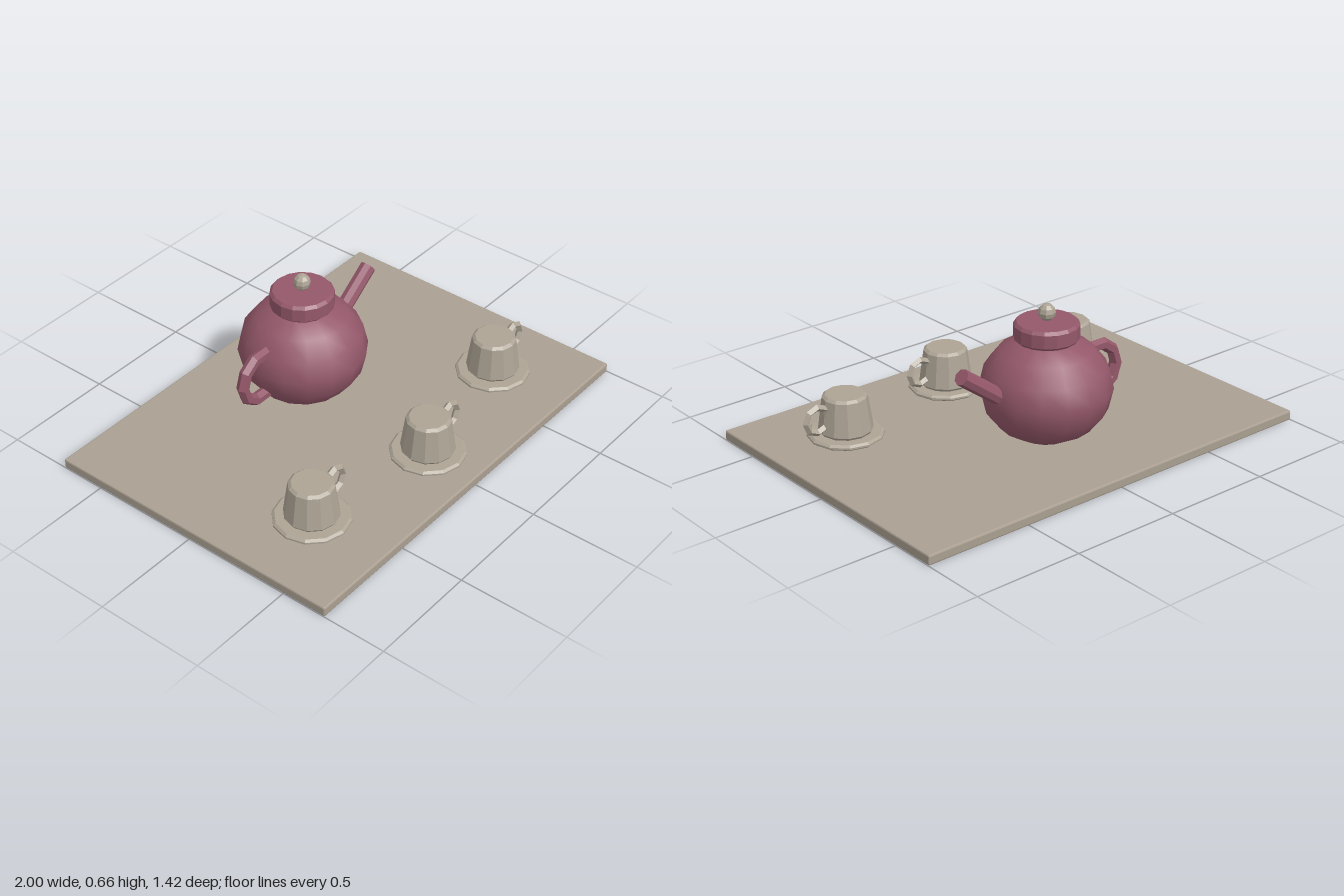
import * as THREE from 'three';
import { RoundedBoxGeometry } from 'three/addons/geometries/RoundedBoxGeometry.js';

const mat = (name, color, flatShading) => {
  const m = new THREE.MeshStandardMaterial({ color, flatShading });
  m.name = name;
  return m;
};

export function createModel() {
  const trayMat = mat('warm grey tray', 0xaa9f91, true);
  const potteryMat = mat('pale grey pottery', 0xada495, true);
  const potMat = mat('plum body', 0x94586a, false);
  const potFlatMat = mat('plum trim', 0x94586a, true);

  const root = new THREE.Group();
  root.name = 'teaSet';

  const add = (parent, name, geometry, material, x = 0, y = 0, z = 0) => {
    const mesh = new THREE.Mesh(geometry, material);
    mesh.name = name;
    mesh.position.set(x, y, z);
    parent.add(mesh);
    return mesh;
  };
  // Turned solid from [radius, height] points, listed bottom to top
  const lathe = (points, sides) =>
    new THREE.LatheGeometry(points.map(([r, y]) => new THREE.Vector2(r, y)), sides);

  // Tray
  add(root, 'tray', new RoundedBoxGeometry(2, 0.045, 1.42, 1, 0.007), trayMat, 0, 0.0225, 0);

  // Teapot
  const teapot = new THREE.Group();
  teapot.name = 'teapot';
  teapot.position.z = -0.23;
  root.add(teapot);

  const body = new THREE.SphereGeometry(0.284, 16, 8);
  body.scale(1, 0.241 / 0.284, 1);
  add(teapot, 'body', body, potMat, 0, 0.289, 0);

  add(teapot, 'lid', lathe([
    [0, 0.503], [0.128, 0.503], [0.14, 0.515], [0.14, 0.573], [0.128, 0.586], [0, 0.586],
  ], 16), potFlatMat);
  add(teapot, 'knob', new THREE.SphereGeometry(0.038, 8, 6), potteryMat, 0, 0.624, 0);

  // Straight spout, leaning out to the left
  const from = new THREE.Vector3(0.2, 0.273, 0);
  const to = new THREE.Vector3(0.453, 0.46, 0);
  const dir = to.clone().sub(from);
  const spout = add(teapot, 'spout',
    new THREE.CylinderGeometry(0.036, 0.036, dir.length(), 8), potFlatMat);
  spout.position.copy(from).add(to).multiplyScalar(0.5);
  spout.quaternion.setFromUnitVectors(new THREE.Vector3(0, 1, 0), dir.normalize());

  // Ring handle, partly sunk in the body
  add(teapot, 'handle', new THREE.TorusGeometry(0.11, 0.028, 6, 10), potFlatMat, -0.284, 0.29, 0)
    .rotation.z = Math.PI;

  // Upturned cups on saucers
  const saucerGeo = lathe([
    [0, 0.045], [0.156, 0.045], [0.167, 0.053], [0.167, 0.061], [0.156, 0.07], [0, 0.07],
  ], 12);
  const cupGeo = lathe([
    [0, 0.07], [0.11, 0.07], [0.119, 0.082], [0.098, 0.23], [0.085, 0.241], [0, 0.241],
  ], 12);
  const handleGeo = new THREE.TorusGeometry(0.058, 0.016, 4, 8);

  for (const [x, z] of [[-0.63, 0.34], [0, 0.455], [0.63, 0.34]]) {
    const cup = new THREE.Group();
    cup.name = 'cupAndSaucer';
    cup.position.set(x, 0, z);
    add(cup, 'saucer', saucerGeo, potteryMat);
    add(cup, 'cup', cupGeo, potteryMat);
    add(cup, 'cupHandle', handleGeo, potteryMat, 0.143, 0.157, 0);
    root.add(cup);
  }
  return root;
}
